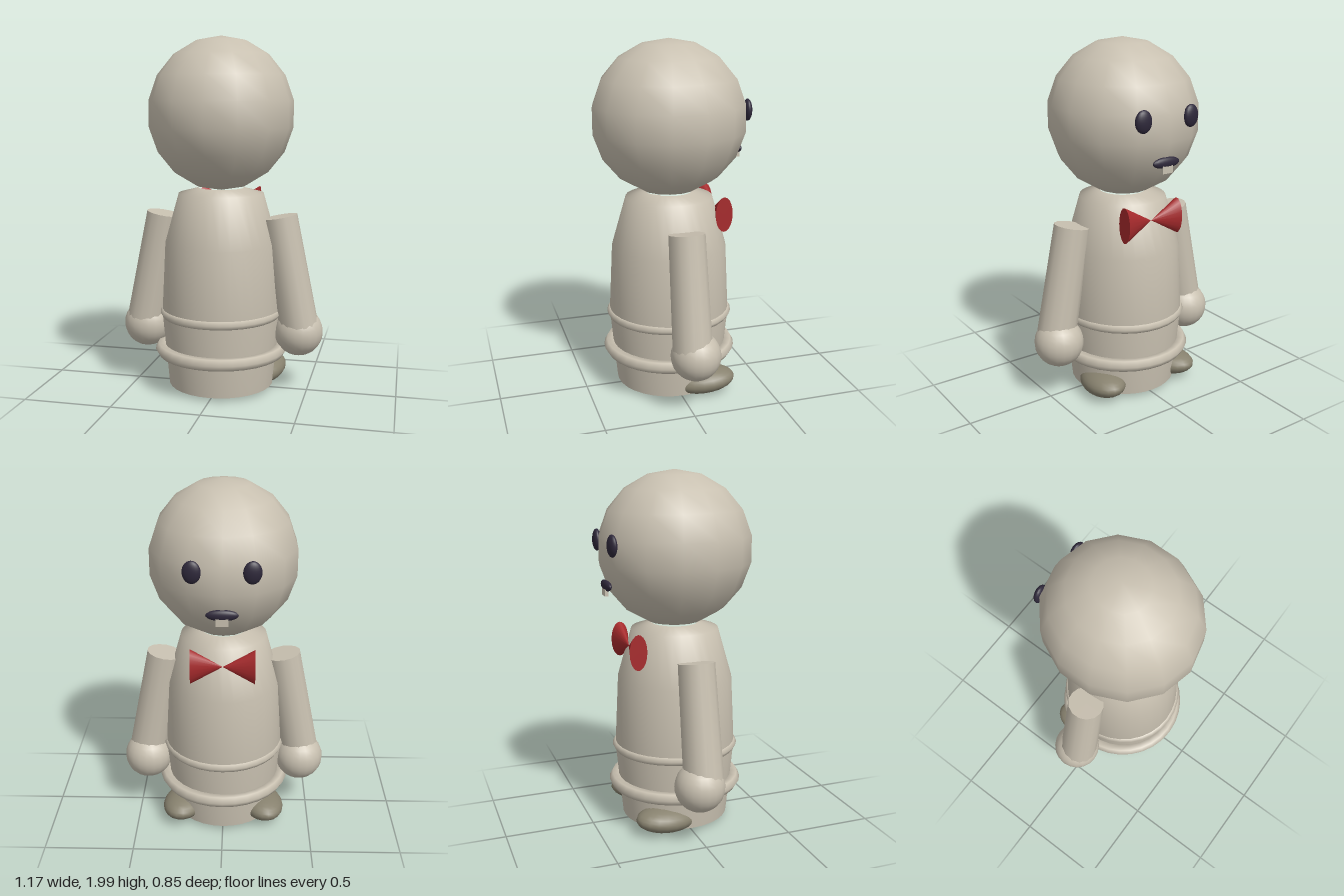
import * as THREE from 'three';

const mat = (name, color) => {
  const m = new THREE.MeshStandardMaterial({ color });
  m.name = name;
  return m;
};

export function createModel() {
  const group = new THREE.Group();
  const clay = mat('clay', 0xc8c0b0);
  const shoe = mat('shoe', 0x88826f);
  const dark = mat('dark', 0x2e283a);
  const red = mat('red', 0xa62a2c);

  const add = (name, geometry, material, x, y, z) => {
    const mesh = new THREE.Mesh(geometry, material);
    mesh.name = name;
    mesh.position.set(x, y, z);
    group.add(mesh);
    return mesh;
  };
  const ellipsoid = (rx, ry, rz, ws = 20, hs = 14) =>
    new THREE.SphereGeometry(1, ws, hs).scale(rx, ry, rz);

  // Head: coarse sphere with a vertex row on the z axis
  add('head', new THREE.SphereGeometry(0.427, 14, 9).rotateY(Math.PI / 2).scale(0.96, 1, 1.015), clay, 0, 1.573, 0);

  // Body: barrel profile with sharp lower rim
  const profile = [[0.305, 0.03], [0.345, 0.45], [0.325, 0.85], [0.245, 1.13], [0.13, 1.16]];
  const body = new THREE.LatheGeometry(profile.map(([r, y]) => new THREE.Vector2(r, y)), 32);
  add('body', body.scale(0.98, 1, 1), clay, 0, 0, 0);
  add('bodyBase', new THREE.CircleGeometry(0.305, 32).rotateX(Math.PI / 2).scale(0.98, 1, 1), clay, 0, 0.03, 0);

  // Raised bands around the waist and hem
  for (const [name, r, tube, y, sx] of [['waistBand', 0.335, 0.026, 0.45, 0.965], ['hemBand', 0.346, 0.036, 0.235, 0.99]]) {
    add(name, new THREE.TorusGeometry(r, tube, 6, 32).rotateX(Math.PI / 2).scale(sx, 1, 1), clay, 0, y, 0);
  }

  for (const s of [-1, 1]) {
    const side = s > 0 ? 'left' : 'right';

    // Arm: slightly flared cylinder leaning outwards, ending in a round hand
    const arm = add(side + 'Arm', new THREE.CylinderGeometry(0.1, 0.11, 0.63, 14), clay, s * 0.393, 0.695, 0);
    arm.rotation.z = s * 0.185;
    add(side + 'Hand', new THREE.SphereGeometry(0.138, 20, 14), clay, s * 0.447, 0.347, -0.02);

    // Foot: flattened ellipsoid turned out, toe slightly raised
    const foot = add(side + 'Foot', ellipsoid(0.12, 0.072, 0.185), shoe, s * 0.23, 0.083, -0.133);
    foot.rotation.set(0.1, -s * 0.2, 0);

    // Eye
    const eye = add(side + 'Eye', ellipsoid(0.048, 0.06, 0.024), dark, s * 0.152, 1.62, -0.4);
    eye.rotation.y = -s * 0.1;

    // Bow loop: flattened cone with its tip at the knot
    const loop = new THREE.ConeGeometry(0.1, 0.175, 20).translate(0, -0.0875, 0).rotateZ(s * Math.PI / 2).scale(1, 1, 0.5);
    add(side + 'BowLoop', loop, red, 0, 1.043, -0.27);
  }

  // Mouth with a single tooth
  add('mouth', ellipsoid(0.085, 0.03, 0.02), dark, 0, 1.39, -0.393);
  add('tooth', new THREE.BoxGeometry(0.065, 0.05, 0.018), clay, 0, 1.36, -0.4);

  return group;
}
